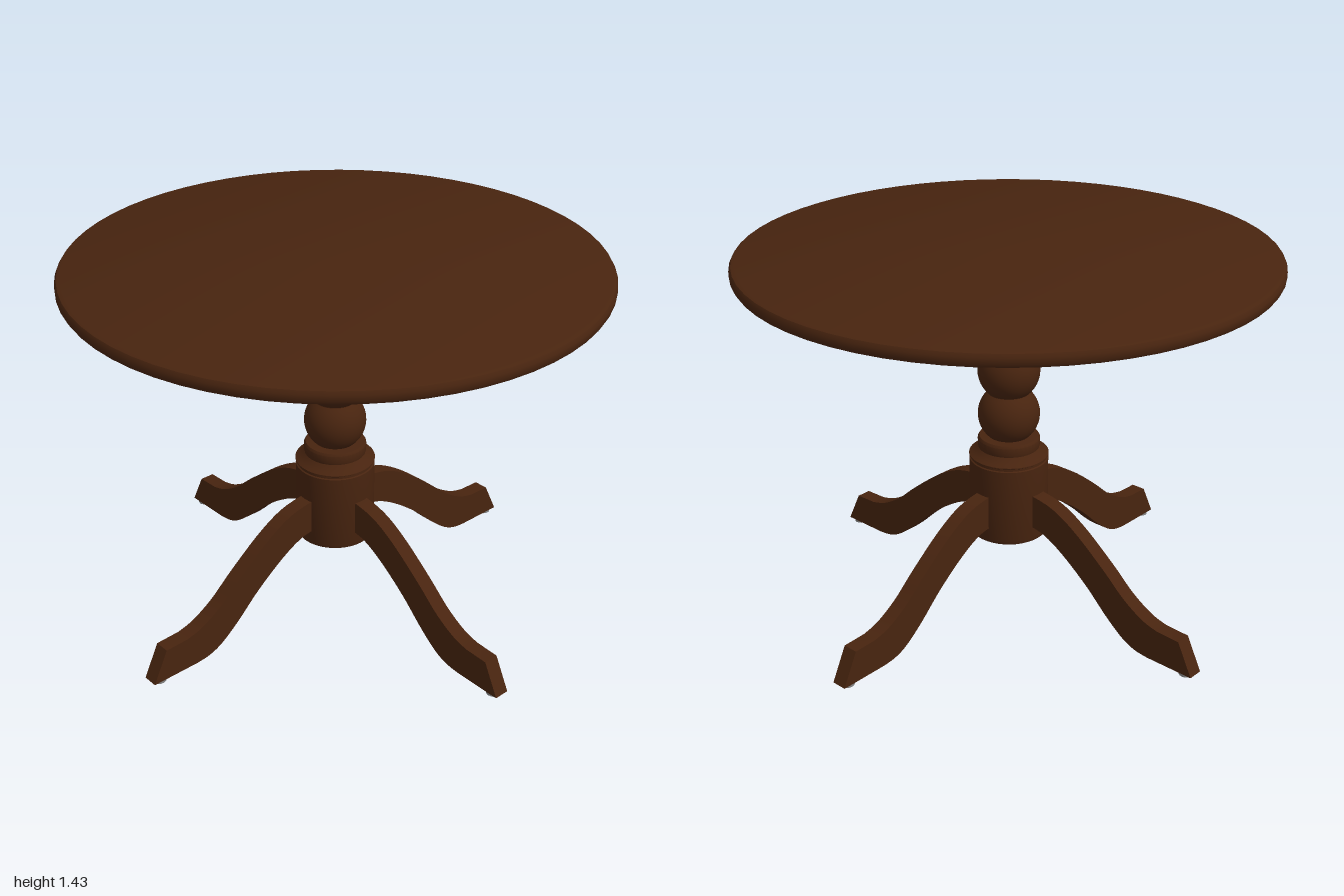
import * as THREE from 'three';
import { toCreasedNormals } from 'three/addons/utils/BufferGeometryUtils.js';

export function createModel() {
  const model = new THREE.Group();
  model.name = 'pedestalTable';

  const wood = new THREE.MeshStandardMaterial({ color: 0x48240f });
  wood.name = 'darkWood';
  const metal = new THREE.MeshStandardMaterial({ color: 0x858585 });
  metal.name = 'greyMetal';

  const add = (parent, name, geometry, material) => {
    const mesh = new THREE.Mesh(geometry, material);
    mesh.name = name;
    parent.add(mesh);
    return mesh;
  };
  // Turned part from [radius, height] pairs, listed bottom to top
  const turned = (points, segments) => toCreasedNormals(
    new THREE.LatheGeometry(points.map(([r, y]) => new THREE.Vector2(r, y)), segments), 0.6);
  // Outline of a bulging ball, cut off where it meets its neighbours
  const ball = (cy, radius, half) => {
    const a = Math.asin(half / radius);
    return Array.from({ length: 13 }, (_, i) => {
      const t = -a + (2 * a * i) / 12;
      return [radius * Math.cos(t), cy + radius * Math.sin(t)];
    });
  };

  // Round top with a softened edge
  add(model, 'tableTop', turned([
    [0, 1.38], [0.98, 1.38], [0.993, 1.385], [1, 1.397], [1, 1.418],
    [0.993, 1.43], [0.98, 1.435], [0, 1.435],
  ], 64), wood);

  const base = new THREE.Group();
  base.name = 'base';
  base.position.set(-0.004, 0, 0.003);
  model.add(base);

  // Mounting plate under the top
  add(base, 'mountingPlate', turned([
    [0, 1.352], [0.307, 1.352], [0.307, 1.38], [0, 1.38],
  ], 48), wood);

  // Turned column: leg block, ring, two balls, collar and upper drum
  add(base, 'column', turned([
    [0, 0.287], [0.138, 0.287], [0.149, 0.294], [0.153, 0.308], [0.153, 0.605],
    [0.148, 0.608], [0.148, 0.616], [0.154, 0.62], [0.154, 0.624], [0.14, 0.632], [0.125, 0.644], [0.118, 0.652],
    [0.12, 0.66], [0.12, 0.688], [0.114, 0.697],
    ...ball(0.787, 0.119, 0.088), ...ball(0.965, 0.119, 0.088),
    [0.119, 1.056], [0.12, 1.1], [0.13, 1.115], [0.146, 1.122], [0.15, 1.134],
    [0.147, 1.146], [0.156, 1.152], [0.161, 1.165], [0.158, 1.178], [0.155, 1.182],
    [0.155, 1.34], [0.15, 1.353], [0, 1.353],
  ], 40), wood);

  // Side outline of a leg: x is distance from the column axis
  const toVectors = (points) => points.map(([x, y]) => new THREE.Vector2(x, y));
  const outline = new THREE.Shape();
  outline.moveTo(0.1, 0.36);
  outline.splineThru(toVectors([
    [0.2, 0.345], [0.3, 0.293], [0.42, 0.203], [0.52, 0.11], [0.6, 0.047], [0.66, 0.02], [0.72, 0.012],
  ]));
  outline.lineTo(0.918, 0.012);
  outline.lineTo(0.855, 0.14);
  outline.lineTo(0.76, 0.143);
  outline.splineThru(toVectors([
    [0.69, 0.163], [0.6, 0.217], [0.5, 0.303], [0.36, 0.41], [0.24, 0.472], [0.1, 0.495],
  ]));
  outline.closePath();
  const legGeometry = toCreasedNormals(new THREE.ExtrudeGeometry(outline, {
    depth: 0.06, bevelEnabled: false, curveSegments: 4,
  }).translate(0, 0, -0.03), 0.5);
  const padGeometry = new THREE.CylinderGeometry(0.028, 0.028, 0.014, 16);

  // Four curved legs, each with a floor pad
  for (let i = 0; i < 4; i++) {
    const leg = new THREE.Group();
    leg.name = 'leg' + (i + 1);
    leg.rotation.y = -0.925 + (i * Math.PI) / 2;
    base.add(leg);
    add(leg, 'curvedLeg', legGeometry, wood);
    add(leg, 'floorPad', padGeometry, metal).position.set(0.878, 0.007, 0);
  }

  // Screw heads on the underside of the plate
  const screwGeometry = turned([[0, 1.328], [0.012, 1.33], [0.02, 1.338], [0.03, 1.346], [0.03, 1.354]], 12);
  [[0.2, -0.125], [-0.05, -0.19], [-0.15, 0.13]].forEach(([x, z]) => {
    add(base, 'plateScrew', screwGeometry, metal).position.set(x, 0, z);
  });

  return model;
}
